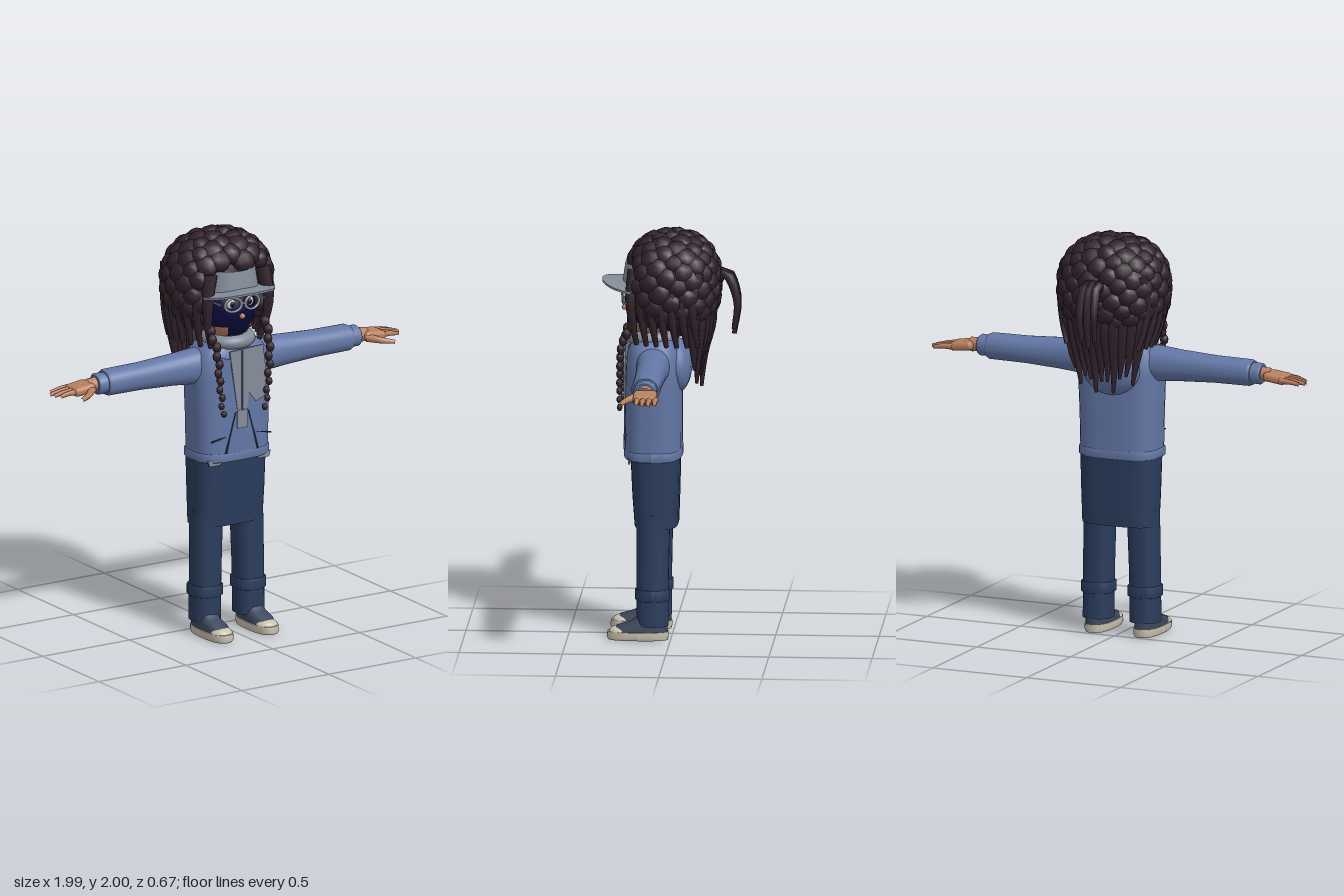
import * as THREE from 'three';
import { mergeGeometries } from 'three/addons/utils/BufferGeometryUtils.js';
import { RoundedBoxGeometry } from 'three/addons/geometries/RoundedBoxGeometry.js';

const V = (x, y, z) => new THREE.Vector3(x, y, z);
const paint = (name, color, side = THREE.FrontSide) => {
  const m = new THREE.MeshStandardMaterial({ color, side });
  m.name = name;
  return m;
};

// Superellipse sections [y, rx, rz, cx, cz] stacked along y, with capped ends
function loft(sections, n = 2.6, N = 32) {
  const pos = [], idx = [];
  const ring = ([y, rx, rz, cx = 0, cz = 0]) => {
    const start = pos.length / 3;
    for (let j = 0; j <= N; j++) {
      const t = (j % N) / N * Math.PI * 2, c = Math.cos(t), s = Math.sin(t);
      pos.push(cx + Math.sign(c) * Math.abs(c) ** (2 / n) * rx, y, cz + Math.sign(s) * Math.abs(s) ** (2 / n) * rz);
    }
    return start;
  };
  const starts = sections.map(ring);
  for (let i = 0; i + 1 < starts.length; i++)
    for (let j = 0; j < N; j++) {
      const a = starts[i] + j, c = starts[i + 1] + j;
      idx.push(a, c, a + 1, a + 1, c, c + 1);
    }
  for (const [sec, top] of [[sections[0], false], [sections.at(-1), true]]) {
    const s = ring(sec), m = pos.length / 3;
    pos.push(sec[3] || 0, sec[0], sec[4] || 0);
    for (let j = 0; j < N; j++) top ? idx.push(m, s + j + 1, s + j) : idx.push(m, s + j, s + j + 1);
  }
  const g = new THREE.BufferGeometry();
  g.setAttribute('position', new THREE.Float32BufferAttribute(pos, 3));
  g.setIndex(idx);
  g.computeVertexNormals();
  return g;
}

// Tube whose radius runs from r0 to r1
function strand(points, r0, r1, sides = 7) {
  const path = new THREE.CatmullRomCurve3(points), segs = 10;
  const g = new THREE.TubeGeometry(path, segs, 1, sides), p = g.attributes.position, v = V();
  for (let i = 0; i < p.count; i++) {
    const u = Math.floor(i / (sides + 1)) / segs, c = path.getPointAt(u);
    v.fromBufferAttribute(p, i).sub(c).multiplyScalar(r0 + (r1 - r0) * u).add(c);
    p.setXYZ(i, v.x, v.y, v.z);
  }
  return g;
}

const ball = (x, y, z, rx, ry, rz, w = 20, h = 14) =>
  new THREE.SphereGeometry(1, w, h).scale(rx, ry, rz).translate(x, y, z);

function plate(points, z, depth = 0.009) {
  const shape = new THREE.Shape(points.map(([x, y]) => new THREE.Vector2(x, y)));
  return new THREE.ExtrudeGeometry(shape, { depth, bevelEnabled: false }).translate(0, 0, z);
}

function mirrored(geo) {
  const g = geo.clone().scale(-1, 1, 1);
  if (!g.index) g.setIndex([...Array(g.attributes.position.count).keys()]);
  const a = g.index.array;
  for (let i = 0; i < a.length; i += 3) [a[i], a[i + 1]] = [a[i + 1], a[i]];
  return g;
}

export function createModel() {
  const model = new THREE.Group();
  const hair = paint('dark hair', 0x30222b), jacket = paint('blue jacket', 0x6377a6);
  const denim = paint('navy denim', 0x2a3c5c), skin = paint('skin', 0xb9805f);
  const grey = paint('grey cloth', 0x848c9a, THREE.DoubleSide), dark = paint('dark face', 0x0a0a3a);
  const cream = paint('cream', 0xc9c2b0), shoe = paint('slate shoe', 0x3c465c);
  const add = (name, geo, mat) => {
    const m = new THREE.Mesh(geo, mat);
    m.name = name;
    model.add(m);
  };
  const pair = (name, geo, mat) => {
    add(name + 'Left', geo, mat);
    add(name + 'Right', mirrored(geo), mat);
  };

  // Shoes and trouser legs
  pair('sole', loft([[0, .058, .145, .13, .158], [.012, .065, .15, .13, .16], [.04, .064, .148, .13, .158]]), cream);
  pair('shoeUpper', loft([[.035, .059, .14, .13, .153], [.065, .056, .125, .13, .14], [.085, .052, .09, .13, .105], [.115, .05, .07, .13, .09]]), shoe);
  pair('toeCap', ball(.13, .035, .245, .056, .032, .055), cream);
  pair('trouserLeg', loft([[.07, .073, .078, .125, .088], [.3, .073, .078, .123, .088], [.62, .076, .082, .115, .085]], 2.4), denim);
  pair('trouserCuff', loft([[.195, .076, .08, .124, .088], [.2, .083, .085, .124, .088], [.245, .083, .085, .124, .088], [.25, .076, .08, .124, .088]], 2.4), denim);

  // Long skirt panel, jacket body and waistband
  add('skirt', loft([[.55, .188, .105, 0, .075], [.7, .193, .113, 0, .078], [.9, .198, .12, 0, .08]], 3.2), denim);
  pair('shirtHem', plate([[.11, .87], [.17, .87], [.18, .9], [.1, .9]], .195), grey);
  add('waistband', loft([[.885, .2, .135, 0, .09], [.89, .207, .141, 0, .09], [.925, .207, .141, 0, .09], [.93, .2, .135, 0, .09]], 3), jacket);
  add('jacketBody', loft([[.92, .2, .137, 0, .09], [1.1, .204, .138, 0, .09], [1.3, .213, .136, 0, .088],
    [1.4, .2, .13, 0, .088], [1.45, .165, .11, 0, .088], [1.48, .11, .09, 0, .09]], 3), jacket);
  add('hood', ball(0, 1.33, -.03, .15, .13, .065), jacket);
  add('collar', new THREE.TorusGeometry(.1, .034, 12, 32).rotateX(Math.PI / 2).translate(0, 1.475, .1), grey);

  // Front of the jacket: scarf panel, zip tab, seams and pockets
  add('scarfPanel', plate([[-.07, 1.44], [.12, 1.45], [.14, 1.3], [.13, 1.19], [.08, 1.17], [.04, 1.22], [.025, 1.13], [-.025, 1.13], [-.05, 1.3]], .22), grey);
  add('zipTab', plate([[-.03, 1.05], [.03, 1.05], [.03, 1.14], [-.03, 1.14]], .225), grey);
  add('zipSeam', plate([[-.004, 1.14], [.004, 1.14], [.004, 1.44], [-.004, 1.44]], .223), shoe);
  pair('openingSeam', plate([[.035, 1.13], [.04, 1.13], [.095, .93], [.088, .93]], .222), denim);
  pair('pocketSeam', plate([[.09, 1.01], [.17, .995], [.17, 1], [.09, 1.015]], .215), denim);
  add('chestFlap', plate([[-.14, 1.3], [-.07, 1.28], [-.06, 1.4], [-.13, 1.42]], .216), jacket);

  // Sleeves along x, with cuffs
  const sleeve = (s, n) => loft(s, n).rotateZ(-Math.PI / 2).translate(0, 1.355, .083);
  pair('sleeve', sleeve([[.1, .09, .085], [.2, .087, .08], [.32, .076, .073], [.5, .066, .069], [.69, .064, .069], [.705, .057, .06]], 2.2), jacket);
  pair('sleeveCuff', sleeve([[.69, .05, .055], [.745, .052, .056], [.755, .044, .046]], 2.1), jacket);

  // Hands
  const hand = [strand([V(.73, 1.358, .083), V(.76, 1.356, .083), V(.8, 1.352, .083)], .034, .036, 12),
    new RoundedBoxGeometry(.12, .045, .115, 2, .02).rotateZ(-.12).translate(.835, 1.348, .078)];
  [[.975, .025], [.995, .055], [.99, .085], [.97, .113]].forEach(([x, z]) =>
    hand.push(strand([V(.87, 1.345, z), V(.93, 1.342, z), V(x, 1.334, z)], .0165, .009)));
  hand.push(strand([V(.79, 1.345, .115), V(.84, 1.335, .165), V(.9, 1.325, .195)], .022, .01));
  hand.forEach((g, i) => pair(i === 1 ? 'palm' : i === 0 ? 'wrist' : i === 6 ? 'thumb' : 'finger' + i, g, skin));

  // Neck, head and dark face mask with skin cheeks
  add('neck', new THREE.CylinderGeometry(.06, .065, .14, 20).translate(0, 1.48, .08), skin);
  add('head', ball(0, 1.63, .085, .138, .165, .138, 32, 24), skin);
  const facePatch = (x0, x1, t0, t1, k) => new THREE.SphereGeometry(k, 24, 18, Math.PI / 2 + x0, x1 - x0, t0, t1 - t0)
    .scale(.138, .165, .138).translate(0, 1.63, .085);
  add('faceMask', facePatch(-1.2, 1.2, .7, 2.8, 1.025), dark);
  pair('cheek', facePatch(.5, 1.2, 2.0, 2.5, 1.05), skin);
  add('nose', ball(0, 1.612, .23, .014, .014, .016), skin);
  pair('eye', ball(.052, 1.675, .208, .026, .024, .012), cream);
  pair('pupil', ball(.05, 1.675, .217, .012, .014, .008), dark);

  // Glasses
  pair('lensRim', new THREE.TorusGeometry(.038, .007, 8, 24).scale(1.15, .9, 1).rotateY(.15).translate(.054, 1.677, .234), grey);
  add('glassesBridge', new THREE.BoxGeometry(.026, .009, .009).translate(0, 1.682, .242), grey);
  pair('glassesArm', new THREE.BoxGeometry(.009, .009, .13).translate(.125, 1.685, .165), grey);

  // Sun visor: headband and curved brim
  add('visorBand', new THREE.CylinderGeometry(.135, .15, .1, 28, 1, true, -1.15, 2.3).translate(0, 1.79, .092), grey);
  const brim = loft([[0, .2, .17, 0, .17], [.01, .2, .17, 0, .17]], 2);
  const bp = brim.attributes.position;
  for (let i = 0; i < bp.count; i++) bp.setY(i, bp.getY(i) + 1.742 - .6 * bp.getX(i) ** 2 + .04 * (bp.getZ(i) - .2));
  brim.computeVertexNormals();
  add('visorBrim', brim, grey);

  // Curly hair: a core covered in flattened curls, leaving the face open
  add('hairCore', ball(0, 1.74, -.025, .235, .215, .175), hair);
  const curls = [], count = 150, dummy = new THREE.Object3D();
  const bulge = (d) => Math.sign(d) * Math.abs(d) ** .85;
  for (let i = 0; i < count; i++) {
    const y = 1 - 2 * (i + .5) / count, r = Math.sqrt(1 - y * y), a = i * 2.39996;
    const d = V(r * Math.cos(a), y, r * Math.sin(a));
    const p = V(bulge(d.x) * .238, 1.735 + bulge(d.y) * .222, bulge(d.z) * .2);
    if (y < -.85 || (p.z > .04 && p.y < 1.85 && Math.abs(p.x) < .165)) continue;
    dummy.position.copy(p);
    dummy.lookAt(p.clone().add(d));
    const s = .054 + .012 * Math.abs(Math.sin(i * 7.3));
    dummy.scale.set(s, s * .95, .046);
    dummy.updateMatrix();
    curls.push(new THREE.SphereGeometry(1, 9, 7).applyMatrix4(dummy.matrix));
  }
  add('curls', mergeGeometries(curls), hair);

  // Locks framing the face and covering the sides
  for (let i = 0; i < 7; i++) {
    const z = .19 - i * .05, x = .15 + .07 * Math.sin(i / 6 * Math.PI * .75);
    pair('sideLock' + i, strand([V(x, 1.83, z - .02), V(x + .025, 1.68, z), V(x + .015, 1.56, z - .01), V(x - .01, 1.46, z - .025)], .038, .012), hair);
  }
  // Loose locks down the back
  for (let i = 0; i < 11; i++) {
    const k = i / 5 - 1, drop = .07 * Math.abs(Math.sin(i * 2.1));
    add('backLock' + i, strand([V(k * .19, 1.74, -.15 + .05 * k * k), V(k * .19, 1.56, -.18 + .07 * k * k),
      V(k * .17, 1.4, -.155 + .04 * k * k), V(k * .15, 1.23 + drop + .05 * k * k, -.145 + .03 * k * k)], .055, .008), hair);
  }
  // Ponytail
  for (let i = -1; i <= 1; i++)
    add('ponytail' + (i + 2), strand([V(i * .02, 1.74, -.19), V(i * .03, 1.79, -.26), V(i * .04, 1.66, -.315), V(i * .035, 1.49 + .03 * Math.abs(i), -.3)], .03, .012), hair);

  // Beaded front braids
  const braidPath = new THREE.CatmullRomCurve3([V(.16, 1.55, .19), V(.15, 1.46, .235), V(.14, 1.3, .247), V(.122, 1.14, .248)]);
  const beads = [];
  for (let i = 0; i < 11; i++) {
    const p = braidPath.getPointAt(i / 10), s = .03 - .0012 * i;
    beads.push(ball(p.x + (i % 2 ? .005 : -.005), p.y, p.z, s * .85, s, s * .75, 8, 6));
  }
  pair('braid', mergeGeometries(beads), hair);
  return model;
}
